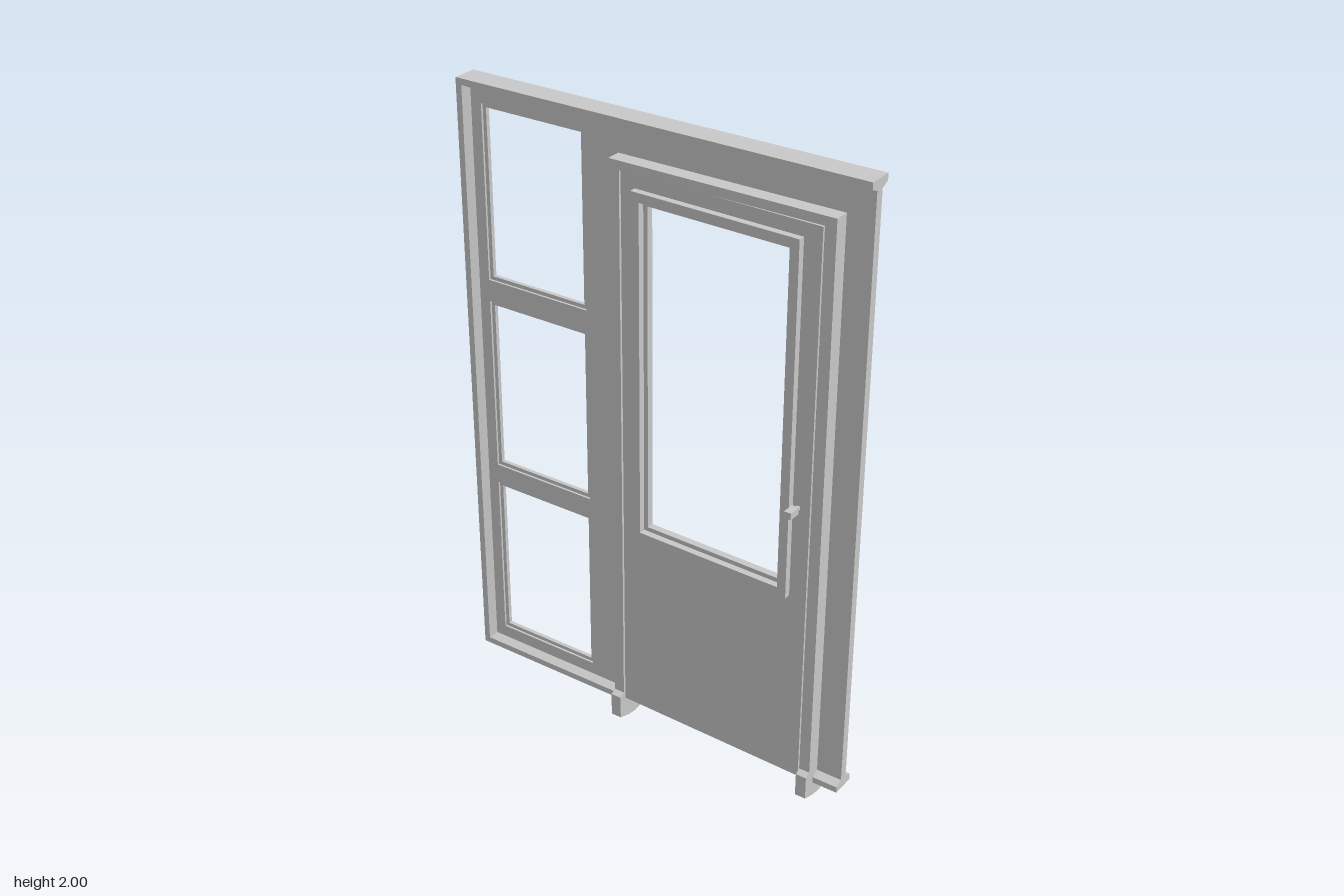
import * as THREE from 'three';

const grey = new THREE.MeshStandardMaterial({ color: 0xc8c8c8 });
grey.name = 'plain grey';

function add(parent, name, geometry) {
  const mesh = new THREE.Mesh(geometry, grey);
  mesh.name = name;
  parent.add(mesh);
  return mesh;
}

const points = (list) => list.map(([a, b]) => new THREE.Vector2(a, b));
const rect = (z0, z1, y0, y1) => [[z0, y0], [z1, y0], [z1, y1], [z0, y1]];
const inset = ([z0, z1, y0, y1], d) => [z0 + d, z1 - d, y0 + d, y1 - d];

// Slab outlined in the z-y plane, filling x0..x1, with optional holes
function slab(outline, holes, x0, x1) {
  const shape = new THREE.Shape(points(outline));
  holes.forEach((h) => shape.holes.push(new THREE.Path(points(h))));
  const g = new THREE.ExtrudeGeometry(shape, { depth: x1 - x0, bevelEnabled: false });
  return g.rotateY(-Math.PI / 2).translate(x1, 0, 0);
}

function box(x0, x1, y0, y1, z0, z1) {
  return new THREE.BoxGeometry(x1 - x0, y1 - y0, z1 - z0)
    .translate((x0 + x1) / 2, (y0 + y1) / 2, (z0 + z1) / 2);
}

// Tapered rail running along +z from the origin, wide face down
function rail(length) {
  const profile = [[-0.039, 0], [0.039, 0], [0.039, 0.02], [0.0135, 0.032], [-0.0135, 0.032], [-0.039, 0.02]];
  return new THREE.ExtrudeGeometry(new THREE.Shape(points(profile)), { depth: length, bevelEnabled: false });
}

export function createModel() {
  const model = new THREE.Group();
  model.name = 'doorWall';
  const END = 0.673, MID = 0.019;

  // Wall panel with a doorway notch and three windows
  const windows = [[1.38, 1.93], [0.743, 1.31], [0.127, 0.679]].map(([y0, y1]) => [-0.605, -0.245, y0, y1]);
  const wall = [[-END + 0.005, 0.06], [-0.105, 0.06], [-0.105, 1.875], [0.57, 1.875],
    [0.57, 0.06], [END, 0.06], [END, 1.99], [-END + 0.005, 1.99]];
  add(model, 'wallPanel', slab(wall, windows.map((w) => rect(...w)), 0.005, 0.032));

  // Narrow lips inside the windows
  windows.forEach((w) => add(model, 'windowLip',
    slab(rect(...w), [rect(...inset(w, 0.012))], 0.012, 0.025)));

  // Rails round the edge of the wall
  add(model, 'topRail', rail(2 * END).rotateZ(Math.PI).translate(MID, 2, -END));
  add(model, 'endRail', rail(1.945).rotateX(Math.PI / 2).translate(MID, 2, -END));
  add(model, 'bottomRailLong', rail(END - 0.11).translate(MID, 0.055, -END));
  add(model, 'bottomRailShort', rail(END - 0.57).translate(MID, 0.055, 0.57));

  // Door casing: two jambs and a head
  const casing = [[-0.125, 0.05], [-0.09, 0.05], [-0.09, 1.862], [0.555, 1.862],
    [0.555, 0.05], [0.59, 0.05], [0.59, 1.89], [-0.125, 1.89]];
  add(model, 'doorCasing', slab(casing, [], -0.042, 0.077));

  // Rounded feet under the jambs
  const foot = [[-0.06, 0.02], [-0.02, 0.006], [0.018, 0], [0.055, 0.006], [0.095, 0.02],
    [0.095, 0.097], [0.078, 0.107], [-0.042, 0.107], [-0.06, 0.097]];
  [-0.125, 0.555].forEach((z) => add(model, 'jambFoot',
    new THREE.ExtrudeGeometry(new THREE.Shape(points(foot)), { depth: 0.035, bevelEnabled: false })
      .translate(0, 0, z)));

  // Door, slightly ajar, hinged next to the windows
  const door = new THREE.Group();
  door.name = 'door';
  door.position.set(-0.034, 0, -0.09);
  door.rotation.y = -0.021;
  model.add(door);

  const opening = [0.09, 0.546, 0.753, 1.777];
  const trimInner = inset(opening, -0.014);
  const trimOuter = inset(opening, -0.042);
  add(door, 'doorPanel', slab(rect(0, 0.644, 0.082, 1.861), [rect(...opening)], 0, 0.022));
  [[-0.021, 0], [0.022, 0.04]].forEach(([x0, x1]) => add(door, 'doorWindowTrim',
    slab(rect(...trimOuter), [rect(...trimInner)], x0, x1)));

  // Door handle
  add(door, 'handleStem', box(-0.02, 0, 1.006, 1.016, 0.601, 0.612));
  add(door, 'handleGrip', box(-0.054, -0.014, 1.0, 1.022, 0.594, 0.616));

  return model;
}
